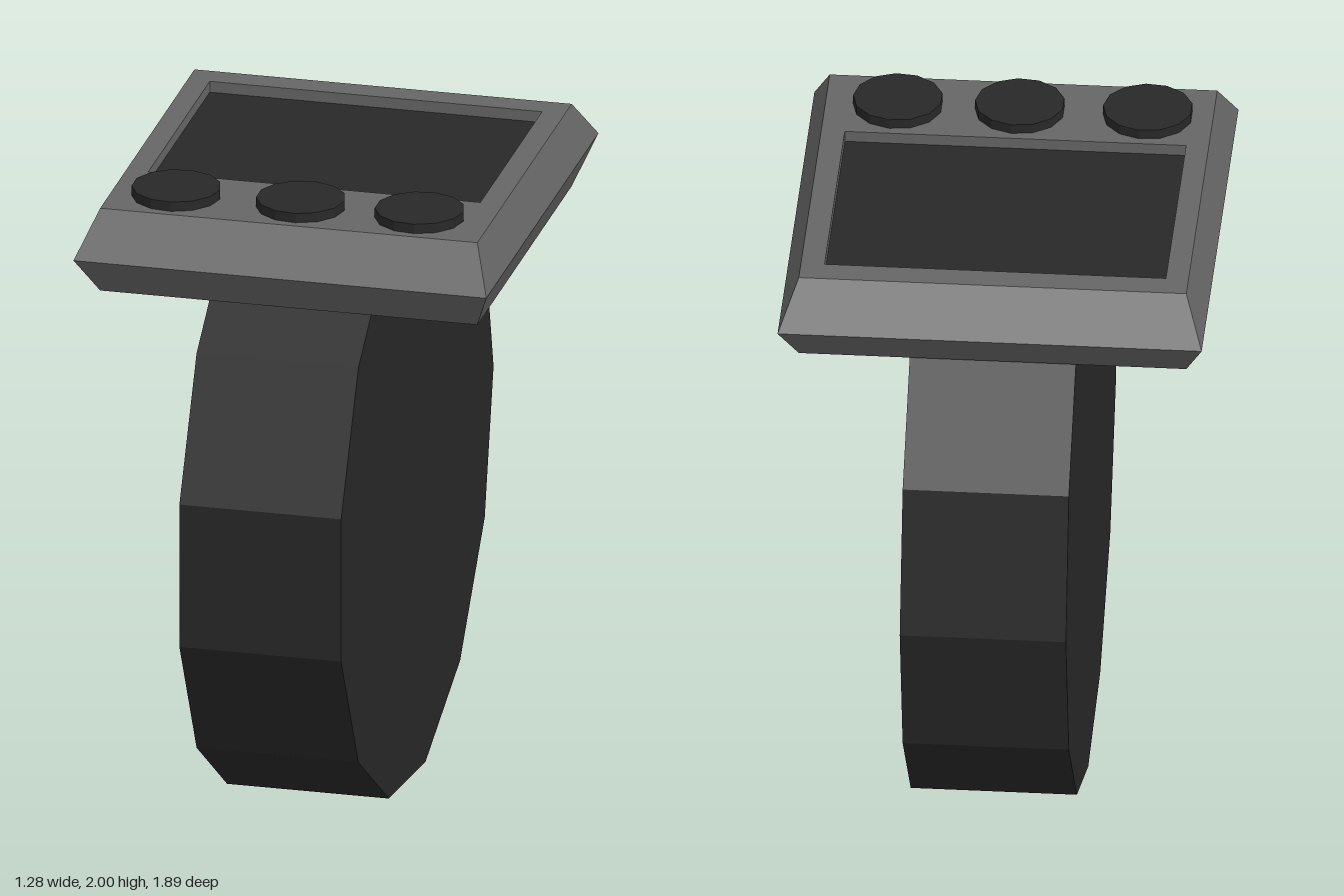
import * as THREE from 'three';

const dark = new THREE.MeshStandardMaterial({ color: 0x282828, flatShading: true });
dark.name = 'charcoal';
const grey = new THREE.MeshStandardMaterial({ color: 0x666666, flatShading: true });
grey.name = 'grey';

// Rectangle of four corners at height y, counter-clockwise seen from above
const ring = (y, x0, x1, z0, z1) => [[x1, y, z1], [x1, y, z0], [x0, y, z0], [x0, y, z1]];

// Skin a stack of rectangular rings, closing the first one
function skinRings(rings) {
  const pos = [];
  const quad = (a, b, c, d) => pos.push(...a, ...b, ...c, ...a, ...c, ...d);
  quad(...[...rings[0]].reverse());
  for (let r = 0; r < rings.length - 1; r++) {
    const lo = rings[r], hi = rings[r + 1];
    for (let i = 0; i < 4; i++) {
      const j = (i + 1) % 4;
      quad(lo[i], lo[j], hi[j], hi[i]);
    }
  }
  const geo = new THREE.BufferGeometry();
  geo.setAttribute('position', new THREE.Float32BufferAttribute(pos, 3));
  geo.computeVertexNormals();
  return geo;
}

export function createModel() {
  const group = new THREE.Group();
  const add = (name, geo, mat, x, y, z) => {
    const mesh = new THREE.Mesh(geo, mat);
    mesh.name = name;
    mesh.position.set(x, y, z);
    group.add(mesh);
  };

  // Solid thirteen-sided wrist band, lying along x
  const band = new THREE.CylinderGeometry(0.959, 0.959, 0.5, 13, 1, false, Math.PI);
  band.rotateZ(-Math.PI / 2);
  add('band', band, dark, 0, 0.952, 0.019);

  // Case with a ridge around its middle and a shallow recess on top
  const floorY = 1.935;
  add('case', skinRings([
    ring(1.705, -0.583, 0.583, -0.573, 0.597),
    ring(1.838, -0.638, 0.638, -0.685, 0.707),
    ring(1.97, -0.583, 0.583, -0.573, 0.597),
    ring(1.97, -0.515, 0.512, -0.49, 0.275),
    ring(floorY, -0.515, 0.512, -0.49, 0.275),
  ]), grey, 0, 0, 0);

  // Screen filling the recess floor
  const screen = new THREE.BoxGeometry(1.027, 0.008, 0.765);
  add('screen', screen, dark, -0.0015, floorY - 0.004, -0.1075);

  // Three round buttons along the front edge
  const button = new THREE.CylinderGeometry(0.135, 0.135, 0.06, 13, 1, false, Math.PI / 2);
  [-0.387, -0.002, 0.365].forEach((x, i) => add(`button${i + 1}`, button, dark, x, 1.97, 0.437));

  return group;
}
